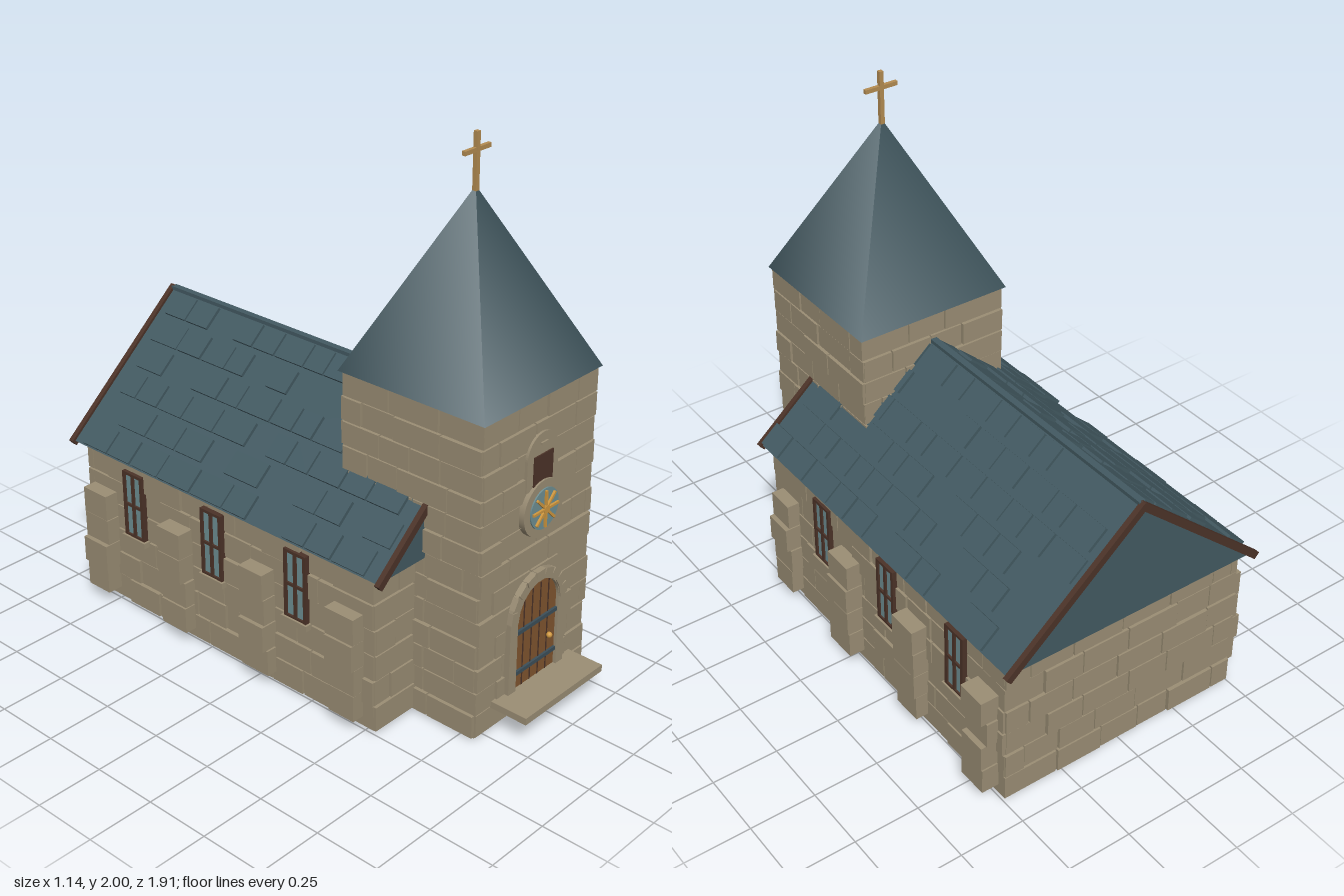
import * as THREE from 'three';
import { mergeGeometries } from 'three/addons/utils/BufferGeometryUtils.js';

const mat = (name, color) => Object.assign(new THREE.MeshStandardMaterial({ color }), { name });

export function createModel() {
  const stone = mat('stone', 0x9b8e75), slate = mat('slate', 0x435a62);
  const darkWood = mat('dark wood', 0x4c3328), doorWood = mat('door wood', 0x80552f);
  const glass = mat('glass', 0x6f9094), iron = mat('iron', 0x3c4f59);
  const gold = mat('gold', 0xd0983f), crossGold = mat('cross brass', 0xb48c52);

  const model = new THREE.Group();
  model.name = 'church';
  let seed = 7;
  const rand = (a, b) => {
    seed = (seed * 16807) % 2147483647;
    return a + (b - a) * seed / 2147483647;
  };
  const add = (parent, name, geometry, material) => {
    const mesh = new THREE.Mesh(geometry, material);
    mesh.name = name;
    parent.add(mesh);
    return mesh;
  };
  const box = (w, h, d, x, y, z) => new THREE.BoxGeometry(w, h, d).translate(x, y, z);
  const group = (name, parent = model) => {
    const g = new THREE.Group();
    g.name = name;
    parent.add(g);
    return g;
  };

  // Staggered stone courses on a wall: x runs along it, z points outward
  function stoneWall(name, width, y0, y1, rows, x, z, turn) {
    const blocks = [], h = (y1 - y0) / rows;
    for (let r = 0; r < rows; r++) {
      let a = -width / 2 - rand(0.004, 0.014);
      const end = width / 2 + rand(0.004, 0.014);
      let first = r % 2 ? 0.55 : 1;
      while (a < end - 0.01) {
        let b = a + rand(0.13, 0.22) * first;
        if (end - b < 0.07) b = end;
        const out = rand(0.006, 0.017);
        blocks.push(box(b - a - 0.006, h - 0.006, out + 0.02,
          (a + b) / 2, y0 + (r + 0.5) * h, (out - 0.02) / 2));
        a = b;
        first = 1;
      }
    }
    const wall = add(model, name, mergeGeometries(blocks), stone);
    wall.position.set(x, 0, z);
    wall.rotation.y = turn;
  }

  // Nave and tower cores with stone faces
  const Q = Math.PI / 2;
  add(model, 'naveCore', box(0.98, 0.61, 1.415, 0, 0.31, -0.178), stone);
  add(model, 'towerCore', box(0.58, 1.185, 0.58, 0, 0.5925, 0.512), stone);
  stoneWall('naveLeftStones', 1.415, 0.01, 0.61, 6, 0.49, -0.178, Q);
  stoneWall('naveRightStones', 1.415, 0.01, 0.61, 6, -0.49, -0.178, -Q);
  stoneWall('naveBackStones', 0.98, 0.01, 0.61, 6, 0, -0.885, Math.PI);
  stoneWall('naveFrontStones', 0.98, 0.01, 0.61, 6, 0, 0.53, 0);
  stoneWall('towerFrontStones', 0.58, 0.005, 1.185, 13, 0, 0.802, 0);
  stoneWall('towerBackStones', 0.58, 0.005, 1.185, 13, 0, 0.222, Math.PI);
  stoneWall('towerLeftStones', 0.58, 0.005, 1.185, 13, 0.29, 0.512, Q);
  stoneWall('towerRightStones', 0.58, 0.005, 1.185, 13, -0.29, 0.512, -Q);

  // Buttresses and side windows, mirrored across the nave
  for (const s of [1, -1]) {
    const side = s > 0 ? 'left' : 'right';
    for (const z of [0.43, 0.02, -0.39, -0.8]) {
      const blocks = [];
      for (let i = 0; i < 4; i++) {
        const d = rand(0.062, 0.085);
        blocks.push(box(d, 0.1, rand(0.11, 0.132), s * (0.485 + d / 2), 0.1 + i * 0.103, z));
      }
      blocks.push(box(0.06, 0.38, 0.1, s * 0.51, 0.25, z));
      add(model, side + 'Buttress', mergeGeometries(blocks), stone);
    }
    for (const z of [0.19, -0.22, -0.63]) {
      const win = group(side + 'Window');
      win.position.set(s * 0.505, 0.445, z);
      win.rotation.y = s * Q;
      add(win, 'pane', box(0.1, 0.26, 0.02, 0, 0, -0.005), glass);
      const bars = [-0.045, 0, 0.045].map(x => box(0.013, 0.265, 0.024, x, 0, 0));
      for (const y of [-0.128, 0, 0.128]) bars.push(box(0.1, 0.011, 0.024, 0, y, 0));
      add(win, 'frame', mergeGeometries(bars), darkWood);
      add(win, 'sill', box(0.12, 0.022, 0.04, 0, -0.142, 0), stone);
    }
  }

  // Gabled nave roof
  const eave = 0.525, low = 0.615, ridge = 1.07;
  const gable = new THREE.Shape([[-eave, low], [eave, low], [0, ridge]].map(p => new THREE.Vector2(...p)));
  add(model, 'roof', new THREE.ExtrudeGeometry(gable, { depth: 1.51, bevelEnabled: false })
    .translate(0, 0, -0.935), slate);
  const slope = Math.hypot(eave, ridge - low), pitch = Math.atan2(ridge - low, eave);
  for (const s of [1, -1]) {
    const side = group(s > 0 ? 'leftSlope' : 'rightSlope');
    side.position.set(0, ridge, 0);
    side.rotation.z = -s * pitch;
    const tiles = [], rows = 6, step = slope / rows;
    for (let r = 0; r < rows; r++) {
      let z = -0.925 + rand(0, 0.08);
      while (z < 0.5) {
        const len = rand(0.09, 0.17);
        if (rand(0, 1) < 0.82)
          tiles.push(box(step * 0.8, 0.014, Math.min(len, 0.565 - z) - 0.008,
            s * (r + 0.55) * step, rand(0.002, 0.006), z + len / 2));
        z += len;
      }
    }
    add(side, 'shingles', mergeGeometries(tiles), slate);
    for (const z of [0.58, -0.94])
      add(side, 'bargeBoard', box(slope + 0.015, 0.028, 0.02, s * (slope / 2 + 0.002), -0.004, z), darkWood);
  }
  add(model, 'ridgeCap', box(0.025, 0.014, 1.51, 0, ridge + 0.002, -0.18), slate);

  // Spire and cross
  add(model, 'spire', new THREE.ConeGeometry(0.439, 0.635, 4).rotateY(Math.PI / 4)
    .translate(0, 1.5025, 0.512), slate);
  add(model, 'cross', mergeGeometries([
    box(0.016, 0.2, 0.016, 0, 1.9, 0.512), box(0.13, 0.015, 0.014, 0, 1.94, 0.512)]), crossGold);

  // Arched slab: half width, bottom, spring line
  const arch = (w, y0, spring, Kind = THREE.Shape) => {
    const p = new Kind();
    p.moveTo(-w, y0);
    p.lineTo(w, y0);
    p.lineTo(w, spring);
    p.absarc(0, spring, w, 0, Math.PI, false);
    p.lineTo(-w, y0);
    return p;
  };
  const slab = (shape, depth, z) => new THREE.ExtrudeGeometry(shape,
    { depth, bevelEnabled: false, curveSegments: 16 }).translate(0, 0, z);

  // Entrance
  const entrance = group('entrance');
  const surround = arch(0.152, 0.1, 0.39);
  surround.holes.push(arch(0.112, 0.1, 0.39, THREE.Path));
  add(entrance, 'doorSurround', slab(surround, 0.04, 0.795), stone);
  for (let i = 0; i < 9; i++) {
    const a = Math.PI * (i + 0.5) / 9;
    add(entrance, 'archStone', box(0.038, 0.044, 0.025, 0, 0, 0).rotateZ(a)
      .translate(Math.cos(a) * 0.133, 0.39 + Math.sin(a) * 0.133, 0.827), stone);
  }
  add(entrance, 'door', slab(arch(0.113, 0.1, 0.39), 0.028, 0.795), doorWood);
  for (const x of [-0.066, -0.022, 0.022, 0.066])
    add(entrance, 'plankGap', box(0.005, 0.37, 0.004, x, 0.298, 0.823), darkWood);
  for (const y of [0.18, 0.34])
    add(entrance, 'strap', box(0.22, 0.015, 0.012, 0, y, 0.826), iron);
  add(entrance, 'knob', new THREE.SphereGeometry(0.011, 12, 8).translate(0.068, 0.255, 0.835), gold);
  add(entrance, 'step', box(0.43, 0.026, 0.17, 0, 0.103, 0.875), stone);

  // Belfry opening with stone surround
  const belfry = group('belfry');
  add(belfry, 'belfrySurround', slab(arch(0.082, 0.86, 0.975), 0.028, 0.795), stone);
  add(belfry, 'opening', box(0.1, 0.12, 0.008, 0, 0.92, 0.824), darkWood);
  add(belfry, 'keystone', box(0.035, 0.008, 0.012, 0, 1.02, 0.824), stone);

  // Round window with gold rays
  const rose = group('roseWindow');
  rose.position.set(0, 0.78, 0.8);
  const disc = (r, d) => new THREE.CylinderGeometry(r, r, d, 32).rotateX(Q).translate(0, 0, d / 2);
  add(rose, 'ring', disc(0.105, 0.035), stone);
  add(rose, 'roundPane', disc(0.075, 0.04), glass);
  for (let i = 0; i < 4; i++)
    add(rose, 'ray', box(0.135, 0.009, 0.01, 0, 0, 0.043).rotateZ(i * Math.PI / 4), gold);
  add(rose, 'hub', disc(0.015, 0.05), gold);

  return model;
}
